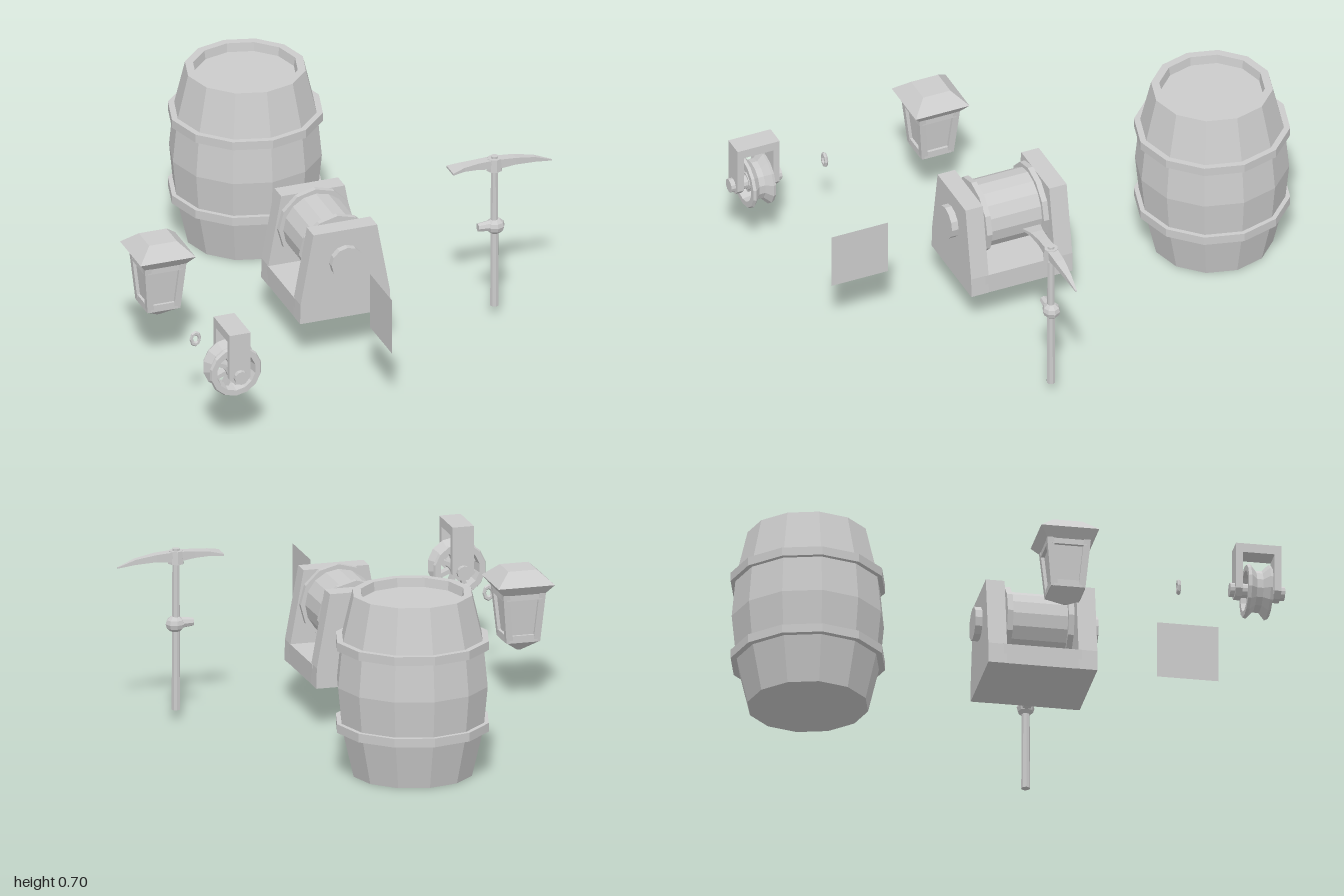
import * as THREE from 'three';

const grey = new THREE.MeshStandardMaterial({ color: 0xcccccc, flatShading: true });
const greyThin = new THREE.MeshStandardMaterial({ color: 0xcccccc, flatShading: true, side: THREE.DoubleSide });

function add(parent, name, geometry, x = 0, y = 0, z = 0) {
  const m = new THREE.Mesh(geometry, grey);
  m.name = name;
  m.position.set(x, y, z);
  parent.add(m);
  return m;
}

function group(parent, name, x, y, z) {
  const g = new THREE.Group();
  g.name = name;
  g.position.set(x, y, z);
  parent.add(g);
  return g;
}

const box = (w, h, d) => new THREE.BoxGeometry(w, h, d);
const lathe = (pts, sides) => new THREE.LatheGeometry(pts.map(p => new THREE.Vector2(...p)), sides);
const cylZ = (r, len, sides) => new THREE.CylinderGeometry(r, r, len, sides).rotateX(Math.PI / 2);

// Skin over rings of points, closed at both ends
function loft(rings) {
  const pos = [];
  const tri = (...p) => p.forEach(v => pos.push(...v));
  const n = rings[0].length, last = rings[rings.length - 1];
  for (let i = 0; i < rings.length - 1; i++) {
    for (let j = 0; j < n; j++) {
      const k = (j + 1) % n, r = rings[i], s = rings[i + 1];
      tri(r[j], r[k], s[k]);
      tri(r[j], s[k], s[j]);
    }
  }
  for (let j = 1; j < n - 1; j++) {
    tri(rings[0][0], rings[0][j + 1], rings[0][j]);
    tri(last[0], last[j], last[j + 1]);
  }
  const g = new THREE.BufferGeometry();
  g.setAttribute('position', new THREE.Float32BufferAttribute(pos, 3));
  g.computeVertexNormals();
  return g;
}

const corners = [[-1, -1], [1, -1], [1, 1], [-1, 1]];
// Square ring at height y with half width h
const ringY = (y, h, cx = 0, cz = 0) => corners.map(([a, b]) => [cx + b * h, y, cz + a * h]);
// Rectangular ring at x
const ringX = (x, y, hy, hz) => corners.map(([a, b]) => [x, y + a * hy, b * hz]);

function buildBarrel(root) {
  const g = group(root, 'barrel', -0.046, 0, -0.704);
  add(g, 'barrelBody', lathe([[0, 0], [0.231, 0], [0.276, 0.19], [0.292, 0.352], [0.276, 0.515],
    [0.231, 0.705], [0.2, 0.705], [0.195, 0.67], [0, 0.67]], 12));
  for (const y of [0.194, 0.514]) {
    add(g, 'barrelHoop', lathe([[0.26, -0.017], [0.296, -0.017], [0.296, 0.017], [0.26, 0.017]], 12), 0, y, 0);
  }
}

function buildWinch(root) {
  const g = group(root, 'winch', -0.048, 0, 0.163);
  const s = new THREE.Shape();
  [[-0.182, 0.16], [0.182, 0.16], [0.18, 0.24], [0.128, 0.526], [-0.128, 0.526], [-0.18, 0.24]]
    .forEach(([x, y], i) => (i ? s.lineTo(x, y) : s.moveTo(x, y)));
  for (const z of [-0.209, 0.137]) {
    add(g, 'winchSidePlate', new THREE.ExtrudeGeometry(s, { depth: 0.072, bevelEnabled: false }), 0, 0, z);
  }
  add(g, 'winchBase', box(0.362, 0.08, 0.3), 0, 0.2, 0);
  add(g, 'winchAxle', cylZ(0.065, 0.472, 12), 0, 0.398, 0);
  add(g, 'winchDrum', cylZ(0.131, 0.22, 16), 0, 0.398, 0);
  for (const z of [-0.117, 0.117]) add(g, 'winchFlange', cylZ(0.149, 0.022, 12), 0, 0.398, z);
}

function buildPickaxe(root) {
  const g = group(root, 'pickaxe', 0.597, 0, 0.252);
  add(g, 'pickHandle', new THREE.CylinderGeometry(0.014, 0.017, 0.631, 8), 0, 0.352, 0);
  // Flared adze on the right, tapered point on the left
  add(g, 'pickHead', loft([ringX(-0.179, 0.636, 0.004, 0.037), ringX(-0.13, 0.642, 0.008, 0.025),
    ringX(-0.07, 0.642, 0.013, 0.019), ringX(0, 0.638, 0.02, 0.02), ringX(0.08, 0.638, 0.014, 0.018),
    ringX(0.16, 0.628, 0.01, 0.011), ringX(0.231, 0.609, 0.002, 0.003)]));
  add(g, 'pickSocket', new THREE.CylinderGeometry(0.027, 0.031, 0.05, 8), 0, 0.634, 0);
  // Wrapped knot on the handle
  add(g, 'gripKnot', new THREE.SphereGeometry(0.036, 8, 6).scale(1.05, 0.9, 0.95), 0.003, 0.372, 0);
  const stub = add(g, 'gripKnotEnd', new THREE.CylinderGeometry(0.016, 0.022, 0.05, 8), -0.042, 0.375, 0);
  stub.rotation.z = Math.PI / 2;
}

function buildLantern(root) {
  const g = group(root, 'lantern', -0.721, 0, 0.155);
  add(g, 'lanternRoof', loft([ringY(0.425, 0.082), ringY(0.462, 0.111), ringY(0.513, 0.056)]));
  add(g, 'lanternPane', loft([ringY(0.24, 0.054), ringY(0.43, 0.071)]));
  add(g, 'lanternBottom', loft([ringY(0.19, 0.006), ringY(0.236, 0.066)]));
  for (let i = 0; i < 4; i++) {
    const side = group(g, 'lanternFrameSide', 0, 0, 0);
    side.rotation.y = i * Math.PI / 2;
    add(side, 'lanternPost', loft([ringY(0.234, 0.013, 0.053, 0.053), ringY(0.43, 0.013, 0.071, 0.071)]));
    add(side, 'lanternLowerRail', box(0.11, 0.028, 0.024), 0, 0.248, 0.055);
    add(side, 'lanternUpperRail', box(0.14, 0.024, 0.024), 0, 0.415, 0.07);
  }
}

function buildPulley(root) {
  const g = group(root, 'pulley', -0.7, 0.315, 0.894);
  // Grooved wheel rim with an open centre
  const rim = [[0.078, -0.047], [0.1, -0.047], [0.105, -0.036], [0.079, -0.012], [0.079, 0.012],
    [0.105, 0.036], [0.1, 0.047], [0.078, 0.047], [0.07, 0], [0.078, -0.047]];
  add(g, 'pulleyRim', lathe(rim, 14).rotateX(Math.PI / 2));
  for (let i = 0; i < 8; i++) {
    const spoke = add(g, 'pulleySpoke', box(0.06, 0.016, 0.035).translate(0.045, 0, 0));
    spoke.rotation.z = (i + 0.5) * Math.PI / 4;
  }
  add(g, 'pulleyHub', cylZ(0.034, 0.07, 12));
  add(g, 'pulleyAxle', cylZ(0.027, 0.21, 12));
  // Strap over the wheel, arms with cut corners
  add(g, 'bracketTop', box(0.084, 0.036, 0.174), 0, 0.16, 0);
  const arm = new THREE.Shape();
  [[-0.042, 0.16], [-0.042, -0.008], [-0.02, -0.032], [0.02, -0.032], [0.042, -0.008], [0.042, 0.16]]
    .forEach(([x, y], i) => (i ? arm.lineTo(x, y) : arm.moveTo(x, y)));
  for (const z of [-0.087, 0.061]) {
    add(g, 'bracketArm', new THREE.ExtrudeGeometry(arm, { depth: 0.026, bevelEnabled: false }), 0, 0, z);
  }
}

export function createModel() {
  const root = new THREE.Group();
  root.name = 'miningProps';
  buildBarrel(root);
  buildWinch(root);
  buildPickaxe(root);
  buildLantern(root);
  buildPulley(root);
  // Single chain link
  add(root, 'chainLink', new THREE.TorusGeometry(0.017, 0.0075, 6, 8).scale(0.97, 1.35, 1), -0.733, 0.293, 0.588);
  // Thin flat panel standing along z
  const panel = add(root, 'flatPanel', new THREE.PlaneGeometry(0.235, 0.225).rotateY(Math.PI / 2), -0.047, 0.353, 0.752);
  panel.material = greyThin;
  return root;
}
